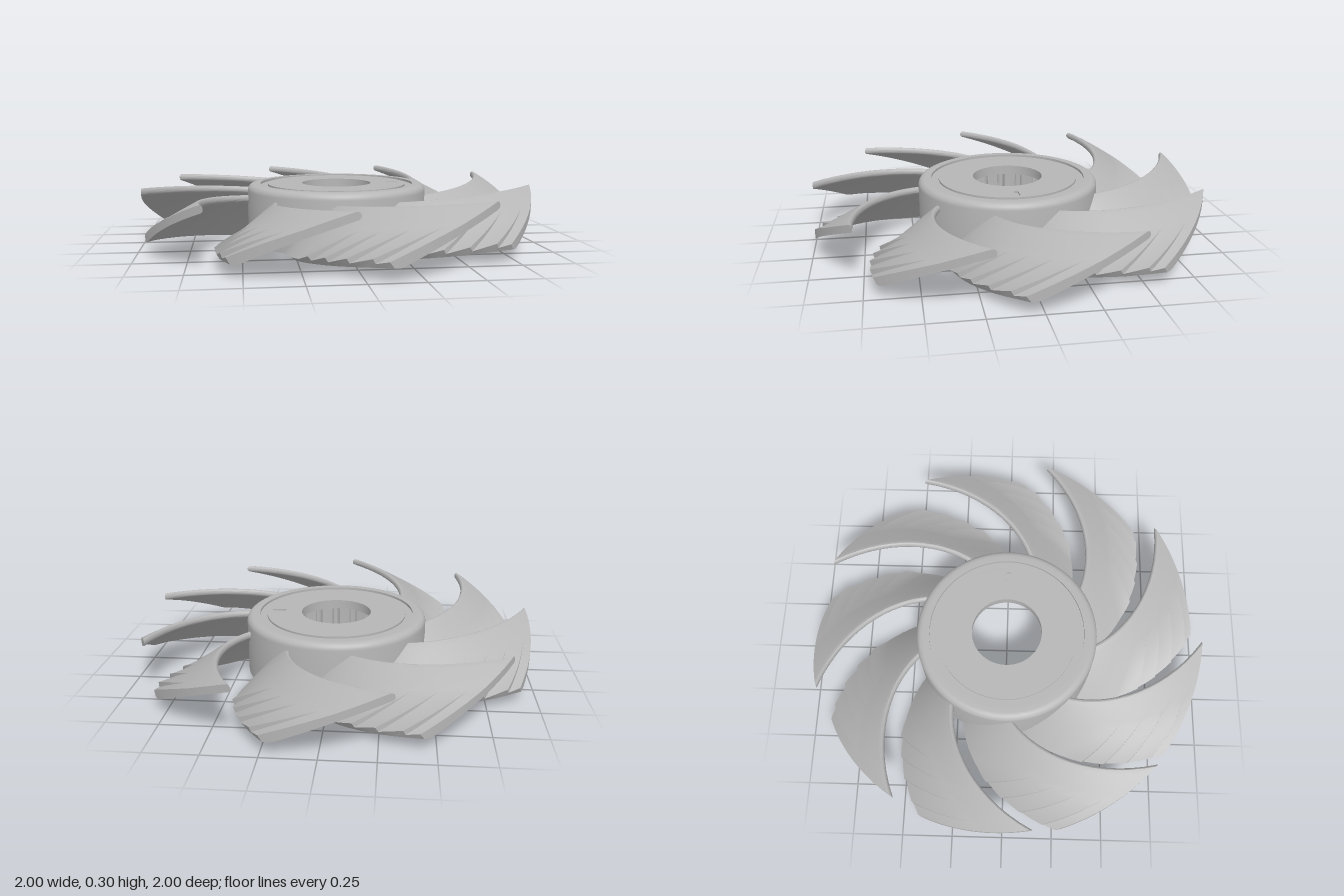
import * as THREE from 'three';
import { toCreasedNormals } from 'three/addons/utils/BufferGeometryUtils.js';

const BLADES = 9;
const DEG = Math.PI / 180;
const HALF = 0.018; // half the blade thickness
const clamp01 = (v) => Math.min(1, Math.max(0, v));

// Stepped ridges near the trailing edge: saw-tooth along the radius, growing along the chord
const PITCH = 0.075, RIDGE_START = 0.66;
function ridge(r, t) {
  if (r < RIDGE_START) return 0;
  const saw = ((r - RIDGE_START) / PITCH) % 1;
  return 0.024 * saw * clamp01((t - 0.42) / 0.58);
}

// Upper and lower skin of the blade at radius r, as [arc, y] pairs from leading to trailing edge
function bladeSection(r, chord) {
  const arc = 32.5 * DEG * r;
  const bottom = 0.06 * clamp01((r - 0.58) / 0.4);
  const top = 0.25 + 0.05 * (r - 0.47) / 0.53 - HALF * 0.8;
  const drop = bottom - top;
  const upper = [], lower = [];
  for (const t of chord) {
    const y = top + drop * (0.8 * t + 0.2 * t * t);
    const slope = drop * (0.8 + 0.4 * t);
    const len = Math.hypot(arc, slope);
    const nose = 1 - clamp01(t * len / HALF);
    const h = HALF * Math.sqrt(1 - nose * nose);
    const na = -slope / len, ny = arc / len;
    const up = h + ridge(r, t);
    upper.push([t * arc + na * up, y + ny * up]);
    lower.push([t * arc - na * h, Math.max(bottom, y - ny * h)]);
  }
  return { upper, lower };
}

function bladeGeometry() {
  const chord = [0, 0.003, 0.01, 0.02, 0.033];
  for (let k = 1; k <= 20; k++) chord.push(0.04 + 0.96 * k / 20);
  const n = chord.length;

  // Radial stations, doubled up at each ridge step
  const radii = [];
  for (let r = 0.435; r < 0.65; r += 0.03) radii.push(r);
  for (let k = 0; k < 5; k++) {
    const e = RIDGE_START + PITCH * k;
    radii.push(e + 0.0005);
    if (k < 4) radii.push(e + PITCH / 2, e + PITCH - 0.0005);
  }
  radii.push(1);

  const pos = [], index = [], loop = 2 * n;
  for (const r of radii) {
    const { upper, lower } = bladeSection(r, chord);
    const sweep = 80 * DEG * (1 - r);
    for (const [s, y] of [...upper, ...lower.reverse()]) {
      const a = sweep + s / r;
      pos.push(r * Math.cos(a), y, r * Math.sin(a));
    }
  }
  for (let i = 0; i < radii.length - 1; i++) {
    for (let j = 0; j < loop; j++) {
      const a = i * loop + j, b = i * loop + (j + 1) % loop;
      index.push(a, b, a + loop, b, b + loop, a + loop);
    }
  }
  // Outer end cap
  const last = (radii.length - 1) * loop;
  for (let k = 0; k < n - 1; k++) {
    const u = last + k, l = last + loop - 1 - k;
    index.push(u, u + 1, l - 1, u, l - 1, l);
  }
  const g = new THREE.BufferGeometry();
  g.setAttribute('position', new THREE.Float32BufferAttribute(pos, 3));
  g.setIndex(index);
  return toCreasedNormals(g, 0.5);
}

const circle = (Type, r, cx = 0) => new Type().absarc(cx, 0, r, 0, Math.PI * 2, false);

function extrudeUp(shape, y, depth, curveSegments = 48) {
  const g = new THREE.ExtrudeGeometry(shape, { depth, bevelEnabled: false, curveSegments });
  g.rotateX(-Math.PI / 2).translate(0, y, 0);
  return toCreasedNormals(g, 0.5);
}

export function createModel() {
  const metal = new THREE.MeshStandardMaterial({ color: 0xb6b6b6 });
  metal.name = 'grey metal';
  const model = new THREE.Group();
  model.name = 'impeller';
  const add = (name, geometry) => {
    const mesh = new THREE.Mesh(geometry, metal);
    mesh.name = name;
    model.add(mesh);
    return mesh;
  };

  // Hub shell: outer wall, rounded rim, ring groove and top plate
  const profile = [[0.44, 0], [0.465, 0], [0.465, 0.265]];
  for (let k = 1; k <= 6; k++) {
    const a = k / 6 * Math.PI / 2;
    profile.push([0.43 + 0.035 * Math.cos(a), 0.265 + 0.035 * Math.sin(a)]);
  }
  profile.push([0.398, 0.3], [0.398, 0.288], [0.182, 0.288], [0.182, 0.25], [0.44, 0.25]);
  const shell = new THREE.LatheGeometry(profile.map(([x, y]) => new THREE.Vector2(x, y)), 96);
  add('hubShell', toCreasedNormals(shell, 0.5));

  // Face disc with the centre hole and a small slot
  const face = circle(THREE.Shape, 0.36);
  face.holes.push(circle(THREE.Path, 0.18));
  const slot = new THREE.Path();
  slot.absarc(0.325, 0, 0.011, -Math.PI / 2, Math.PI / 2, false);
  slot.absarc(0.275, 0, 0.011, Math.PI / 2, Math.PI * 1.5, false);
  slot.closePath();
  face.holes.push(slot);
  add('hubFace', extrudeUp(face, 0.288, 0.01));

  // Splined bore open at the underside
  const ring = circle(THREE.Shape, 0.44);
  const bore = new THREE.Path();
  const teeth = 22;
  for (let k = 0; k < teeth; k++) {
    const at = (f, r) => {
      const a = (k + f) / teeth * Math.PI * 2;
      return [r * Math.cos(a), r * Math.sin(a)];
    };
    if (k === 0) bore.moveTo(...at(0, 0.343));
    else bore.lineTo(...at(0, 0.343));
    for (const [f, r] of [[0.3, 0.343], [0.6, 0.343], [0.64, 0.358], [0.72, 0.366],
      [0.88, 0.366], [0.96, 0.358]]) bore.lineTo(...at(f, r));
  }
  bore.closePath();
  ring.holes.push(bore);
  add('splinedBore', extrudeUp(ring, 0, 0.25, 48));

  // Swept blades around the hub
  const blade = bladeGeometry();
  for (let k = 0; k < BLADES; k++) {
    add('blade' + (k + 1), blade).rotation.y = -(11.5 + k * 360 / BLADES) * DEG;
  }
  return model;
}
